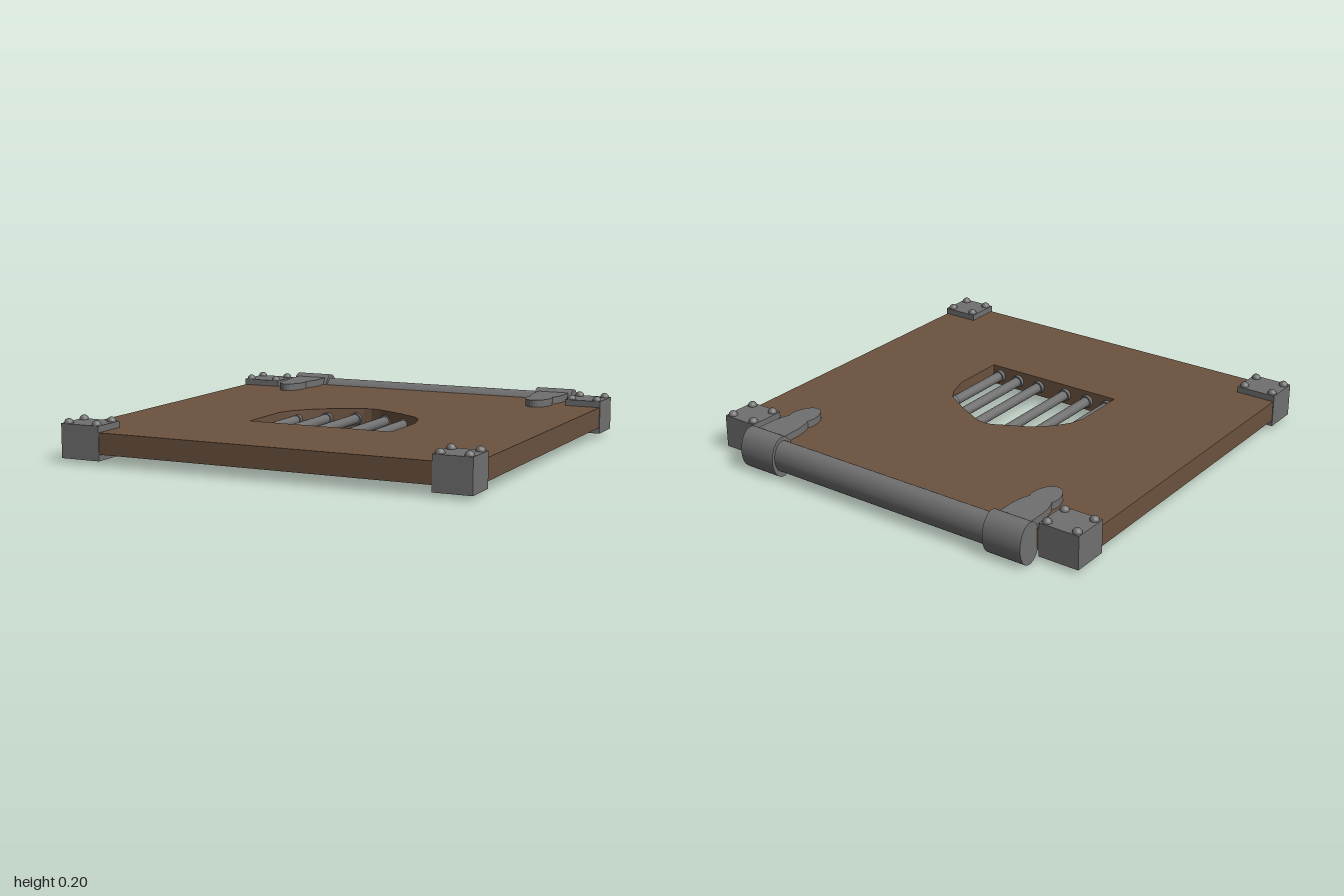
import * as THREE from 'three';

const wood = new THREE.MeshStandardMaterial({ name: 'brown wood', color: 0x6b523f });
const iron = new THREE.MeshStandardMaterial({ name: 'grey iron', color: 0x707070 });

function add(parent, name, geometry, material, x = 0, y = 0, z = 0) {
  const mesh = new THREE.Mesh(geometry, material);
  mesh.name = name;
  mesh.position.set(x, y, z);
  parent.add(mesh);
  return mesh;
}

// Extrudes a plan outline, drawn as (x, -z), upwards from y = 0.
function slab(shape, height) {
  const g = new THREE.ExtrudeGeometry(shape, { depth: height, bevelEnabled: false, curveSegments: 8 });
  return g.rotateX(-Math.PI / 2);
}

const plan = (points) => points.map(([x, z]) => new THREE.Vector2(x, -z));

// Rod along x with an oval section
function rod(ry, rz, length) {
  return new THREE.CylinderGeometry(1, 1, length, 32).rotateZ(Math.PI / 2).scale(1, ry, rz);
}

export function createModel() {
  const model = new THREE.Group();
  model.name = 'barredDoor';

  // Wooden panel with an arched window
  const panel = new THREE.Shape(plan([[-0.997, 0.997], [0.997, 0.997], [0.997, -0.877], [-0.997, -0.877]]));
  panel.holes.push(new THREE.Path(plan([
    [-0.355, 0.405], [-0.355, 0.125], [-0.335, 0.06], [-0.295, 0], [-0.255, -0.045], [-0.2, -0.09],
    [-0.13, -0.125], [-0.08, -0.15], [-0.04, -0.172], [0, -0.18], [0.05, -0.17], [0.1, -0.145],
    [0.19, -0.1], [0.3, -0.03], [0.335, 0.02], [0.355, 0.08], [0.37, 0.14], [0.37, 0.405],
  ])));
  add(model, 'woodenPanel', slab(panel, 0.1), wood, 0, 0.05, 0);

  // Window bars with a collar at each end
  const bars = new THREE.Group();
  bars.name = 'windowBars';
  model.add(bars);
  const collar = new THREE.CylinderGeometry(0.031, 0.031, 0.02, 20).rotateX(Math.PI / 2);
  const barEnds = [[-0.315, 0.01], [-0.2, -0.09], [-0.07, -0.15], [0.09, -0.15], [0.215, -0.09], [0.33, 0.005]];
  for (const [x, top] of barEnds) {
    const length = 0.41 - top + 0.02;
    const bar = new THREE.CylinderGeometry(0.024, 0.024, length, 20).rotateX(Math.PI / 2);
    add(bars, 'windowBar', bar, iron, x, 0.1, 0.41 - length / 2);
    add(bars, 'lowerBarCollar', collar, iron, x, 0.1, 0.396);
    add(bars, 'upperBarCollar', collar, iron, x, 0.1, top + 0.005);
  }

  // Iron corner blocks with four rivets each
  const rivet = new THREE.SphereGeometry(0.022, 16, 10);
  for (const [x0, x1] of [[-1, -0.8], [0.82, 1]]) {
    for (const [z0, z1] of [[-0.88, -0.7], [0.83, 1]]) {
      const corner = new THREE.Group();
      corner.name = 'cornerBracket';
      model.add(corner);
      add(corner, 'cornerBlock', new THREE.BoxGeometry(x1 - x0, 0.16, z1 - z0), iron,
        (x0 + x1) / 2, 0.1, (z0 + z1) / 2);
      for (const x of [x0 + 0.025, x1 - 0.025]) {
        for (const z of [z0 + 0.025, z1 - 0.025]) add(corner, 'rivet', rivet, iron, x, 0.18, z);
      }
    }
  }

  // Hinge pole
  add(model, 'hingePole', rod(0.076, 0.055, 1.25), iron, 0, 0.104, -0.93);

  // Hinge knuckles and their tongue-shaped straps
  const strap = new THREE.Shape();
  strap.moveTo(-0.08, 0.9);
  strap.lineTo(-0.08, 0.81);
  strap.quadraticCurveTo(-0.076, 0.75, -0.057, 0.71);
  strap.quadraticCurveTo(-0.066, 0.69, -0.064, 0.67);
  strap.bezierCurveTo(-0.06, 0.62, -0.035, 0.575, 0, 0.575);
  strap.bezierCurveTo(0.035, 0.575, 0.06, 0.62, 0.064, 0.67);
  strap.quadraticCurveTo(0.066, 0.69, 0.057, 0.71);
  strap.quadraticCurveTo(0.076, 0.75, 0.08, 0.81);
  strap.lineTo(0.08, 0.9);
  for (const side of [-1, 1]) {
    add(model, 'hingeKnuckle', rod(0.1, 0.07, 0.195), iron, side * 0.692, 0.1, -0.93);
    add(model, 'hingeStrap', slab(strap, 0.04), iron, side * 0.692, 0.145, 0);
  }

  return model;
}
